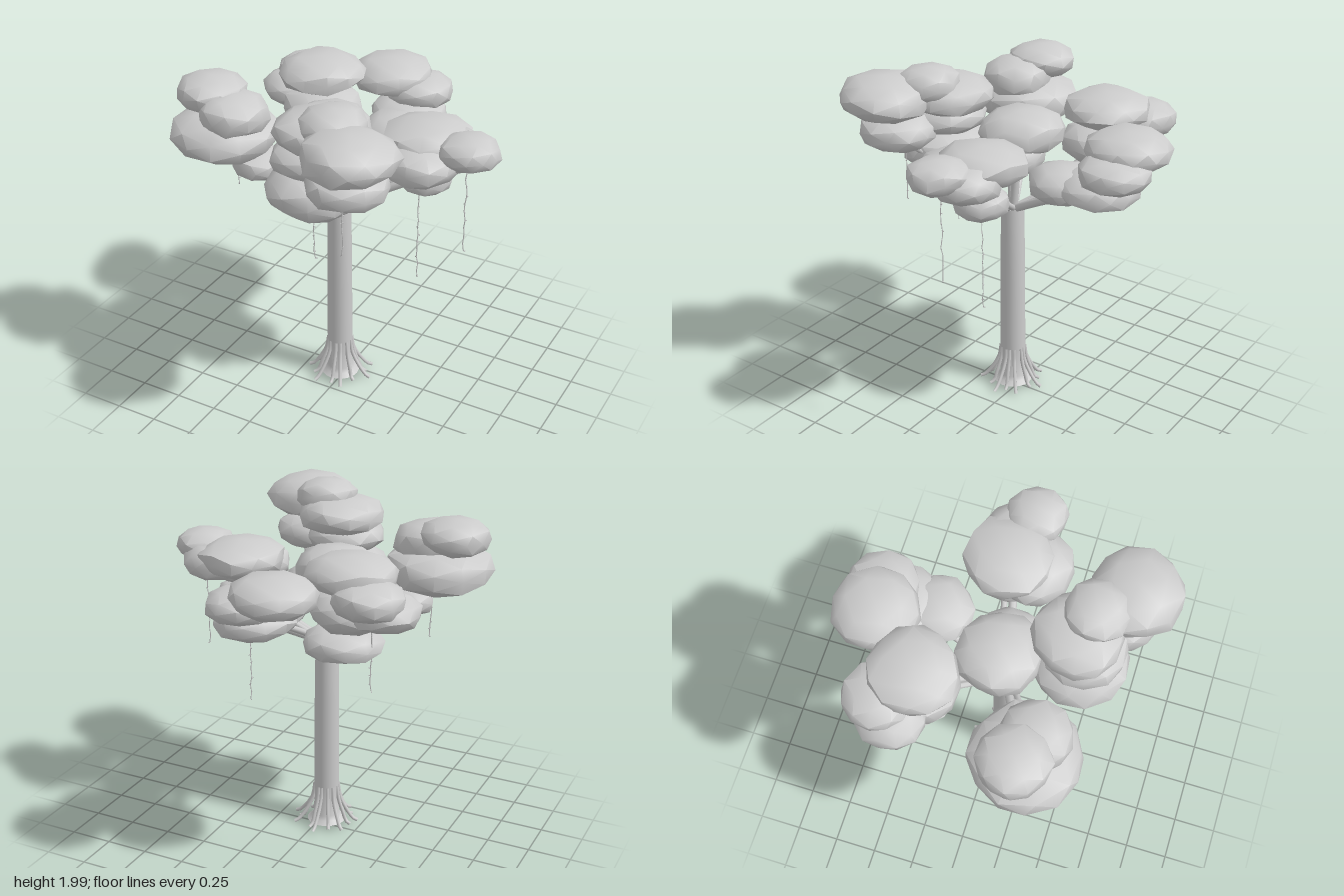
import * as THREE from 'three';
import { mergeVertices, toCreasedNormals } from 'three/addons/utils/BufferGeometryUtils.js';

// small seeded random source
let seed = 7;
const rnd = () => {
  seed = (seed * 16807) % 2147483647;
  return seed / 2147483647;
};

// foliage clumps per bough: [x, y, z, radius, half height]
const CLUSTERS = {
  front: [[0.17, 1.9, 0.48, 0.18, 0.1], [0.05, 1.82, 0.42, 0.25, 0.1], [0.04, 1.69, 0.47, 0.23, 0.1],
    [0.04, 1.49, 0.45, 0.27, 0.14]],
  frontLeft: [[0.355, 1.845, 0.645, 0.26, 0.12], [0.31, 1.65, 0.59, 0.22, 0.11]],
  left: [[0.44, 1.65, -0.07, 0.25, 0.1], [0.46, 1.58, 0.06, 0.235, 0.11], [0.59, 1.61, -0.08, 0.2, 0.1],
    [0.72, 1.67, 0.005, 0.17, 0.09], [0.44, 1.42, -0.06, 0.155, 0.085]],
  back: [[-0.07, 1.69, -0.655, 0.245, 0.105], [0.1, 1.62, -0.67, 0.2, 0.09], [0.08, 1.51, -0.58, 0.23, 0.09],
    [0.1, 1.49, -0.37, 0.2, 0.1]],
  backRight: [[-0.37, 1.76, -0.345, 0.25, 0.1], [-0.53, 1.68, -0.49, 0.19, 0.1], [-0.59, 1.6, -0.4, 0.19, 0.1],
    [-0.36, 1.56, -0.33, 0.23, 0.12], [-0.33, 1.375, -0.36, 0.22, 0.09]],
  right: [[-0.7, 1.82, 0.3, 0.2, 0.1], [-0.52, 1.755, 0.36, 0.2, 0.115], [-0.595, 1.62, 0.33, 0.305, 0.13],
    [-0.44, 1.43, 0.25, 0.16, 0.085]],
  centre: [[-0.1, 1.63, 0.04, 0.24, 0.12], [0.0, 1.52, 0.07, 0.22, 0.11]]
};

// bough tips: [x, y, z]
const TIPS = [[0.03, 1.42, 0.45], [0.32, 1.6, 0.56], [0.42, 1.42, -0.05], [0.1, 1.43, -0.42],
  [-0.32, 1.37, -0.34], [-0.45, 1.42, 0.27], [-0.06, 1.55, 0.05]];

// hanging vines: [x, z, top, bottom]
const VINES = [[-0.59, 0.24, 1.5, 1.24], [-0.52, -0.42, 1.55, 1.15], [0.01, 0.42, 1.42, 1.02],
  [0.27, 0.58, 1.6, 1.21], [0.41, -0.045, 1.42, 0.76], [0.71, 0, 1.6, 1.05]];

// irregular flattened clump with a full, slightly boxy profile
function clumpGeometry(r, h) {
  const ico = new THREE.IcosahedronGeometry(1, 1);
  ico.deleteAttribute('normal');
  ico.deleteAttribute('uv');
  const geo = mergeVertices(ico, 1e-4);
  const p = geo.attributes.position;
  const turn = rnd() * Math.PI * 2;
  const v = new THREE.Vector3();
  const up = new THREE.Vector3(0, 1, 0);
  for (let i = 0; i < p.count; i++) {
    v.fromBufferAttribute(p, i).applyAxisAngle(up, turn);
    const full = Math.pow(Math.pow(Math.hypot(v.x, v.z), 2.4) + Math.pow(Math.abs(v.y), 2.4), -1 / 2.4);
    v.multiplyScalar(full * (0.95 + rnd() * 0.1));
    p.setXYZ(i, v.x * r, v.y * h, v.z * r);
  }
  return toCreasedNormals(geo, 0.8);
}

export function createModel() {
  seed = 7;
  const group = new THREE.Group();
  const grey = new THREE.MeshStandardMaterial({ color: 0xcccccc });
  grey.name = 'plain grey';

  const add = (parent, name, geo) => {
    const m = new THREE.Mesh(geo, grey);
    m.name = name;
    parent.add(m);
    return m;
  };
  const part = (name) => {
    const g = new THREE.Group();
    g.name = name;
    group.add(g);
    return g;
  };
  const tube = (pts, r, segs, sides) =>
    new THREE.TubeGeometry(new THREE.CatmullRomCurve3(pts.map((q) => new THREE.Vector3(...q))), segs, r, sides);

  // trunk with a slightly flared foot
  const cx = -0.034, cz = 0.06;
  const profile = [[0, 0.015], [0.115, 0.015], [0.09, 0.035], [0.076, 0.06], [0.075, 0.25], [0.072, 0.8],
    [0.067, 1.18], [0, 1.2]];
  const trunk = add(group, 'trunk',
    toCreasedNormals(new THREE.LatheGeometry(profile.map((q) => new THREE.Vector2(...q)), 20), 0.7));
  trunk.position.set(cx, 0, cz);

  // roots splaying out round the foot, long and short in turn
  const roots = part('roots');
  for (let i = 0; i < 14; i++) {
    const a = (i + rnd() * 0.5) / 14 * Math.PI * 2;
    const reach = (i % 2 ? 0.15 : 0.185) + rnd() * 0.02;
    const at = (d, y) => [cx + Math.cos(a) * d, y, cz + Math.sin(a) * d];
    add(roots, 'root', tube([at(0.07, 0.25), at(0.082, 0.17), at(0.085 + (reach - 0.085) * 0.35, 0.085),
      at(reach - 0.025, 0.025), at(reach, 0.014)], 0.011, 10, 6));
  }

  // boughs, each a straight main limb with a thinner companion
  const boughs = part('boughs');
  for (const [x, y, z] of TIPS) {
    const len = Math.hypot(x - cx, z - cz);
    const nx = -(z - cz) / len, nz = (x - cx) / len;
    const limb = (off, r, lift) => add(boughs, 'bough', tube([
      [cx + nx * off * 0.5, 1.16, cz + nz * off * 0.5],
      [cx + (x - cx) * 0.5 + nx * off, 1.16 + (y - 1.16) * 0.52 + lift, cz + (z - cz) * 0.5 + nz * off],
      [x + nx * off, y + lift, z + nz * off]], r, 8, 8));
    limb(0.014, 0.024, 0);
    limb(-0.032, 0.018, 0.012);
  }

  // foliage
  for (const [name, clumps] of Object.entries(CLUSTERS)) {
    const g = part(name + 'Foliage');
    for (const [x, y, z, r, h] of clumps) {
      add(g, 'leafClump', clumpGeometry(r, h)).position.set(x, y, z);
    }
  }

  // thin vines with tiny leaves
  const vines = part('vines');
  for (const [x, z, top, bottom] of VINES) {
    const steps = Math.ceil((top - bottom) / 0.05);
    const pts = [];
    for (let i = 0; i <= steps; i++) {
      pts.push([x + (rnd() - 0.5) * 0.01, top + (bottom - top) * i / steps, z + (rnd() - 0.5) * 0.01]);
    }
    add(vines, 'vine', tube(pts, 0.003, steps * 2, 4));
    for (const q of pts) {
      const leaf = add(vines, 'vineLeaf', new THREE.ConeGeometry(0.004, 0.02, 4));
      leaf.position.set(...q);
      leaf.rotation.set(0.9, rnd() * 6.28, 0.9);
    }
  }
  return group;
}
